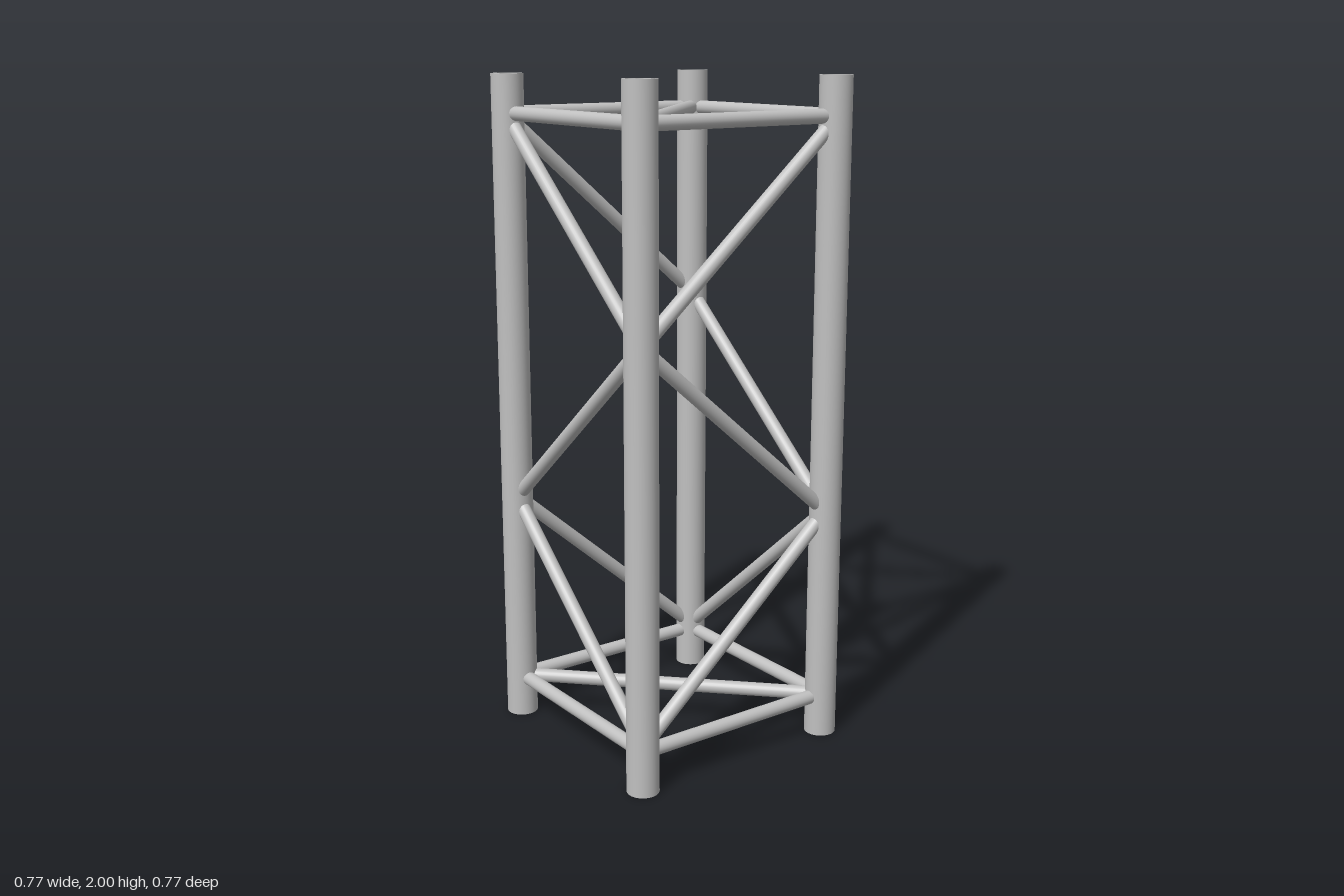
import * as THREE from 'three';
import { mergeGeometries } from 'three/addons/utils/BufferGeometryUtils.js';

const HALF = 0.337;            // chord centre distance from the axis
const OUTER = 0.048, INNER = 0.039, BAR = 0.021;
const HEIGHT = 2;
const LOW = 0.12, HIGH = 1.886; // end frames
const NODES = [1.875, 1.295, 0.715, 0.135]; // zigzag heights

// Hollow tube with sharp rims: one two-point lathe per surface
function tubeGeometry() {
  const corners = [[OUTER, 0], [OUTER, HEIGHT], [INNER, HEIGHT], [INNER, 0]];
  return mergeGeometries(corners.map((c, i) => {
    const next = corners[(i + 1) % 4];
    return new THREE.LatheGeometry([new THREE.Vector2(...c), new THREE.Vector2(...next)], 40);
  }));
}

export function createModel() {
  const group = new THREE.Group();
  group.name = 'squareTruss';
  const aluminium = new THREE.MeshStandardMaterial({ color: 0xc0c0c0 });
  aluminium.name = 'aluminium';

  // Round bar between two points
  function bar(name, a, b) {
    const dir = b.clone().sub(a);
    const mesh = new THREE.Mesh(new THREE.CylinderGeometry(BAR, BAR, dir.length(), 24), aluminium);
    mesh.position.copy(a).add(b).multiplyScalar(0.5);
    mesh.quaternion.setFromUnitVectors(new THREE.Vector3(0, 1, 0), dir.normalize());
    mesh.name = name;
    group.add(mesh);
  }

  const at = ([x, z], y) => new THREE.Vector3(x * HALF, y, z * HALF);
  // Corners in order; odd ones carry the top end of the zigzag
  const corners = [[1, 1], [-1, 1], [-1, -1], [1, -1]];

  // Main chords
  const chord = tubeGeometry();
  for (const c of corners) {
    const mesh = new THREE.Mesh(chord, aluminium);
    mesh.position.copy(at(c, 0));
    mesh.name = 'chord';
    group.add(mesh);
  }

  // Each face: end bars and a three-bay zigzag
  corners.forEach((c, i) => {
    const d = corners[(i + 1) % 4];
    for (const y of [LOW, HIGH]) bar('horizontalBar', at(c, y), at(d, y));
    const [start, end] = i % 2 ? [c, d] : [d, c];
    for (let k = 0; k < 3; k++) {
      const [from, to] = k % 2 ? [end, start] : [start, end];
      bar('diagonalBrace', at(from, NODES[k]), at(to, NODES[k + 1]));
    }
  });

  // Cross bars inside the end frames
  bar('topCrossBar', at(corners[2], HIGH), at(corners[0], HIGH));
  bar('bottomCrossBar', at(corners[1], LOW), at(corners[3], LOW));

  return group;
}
